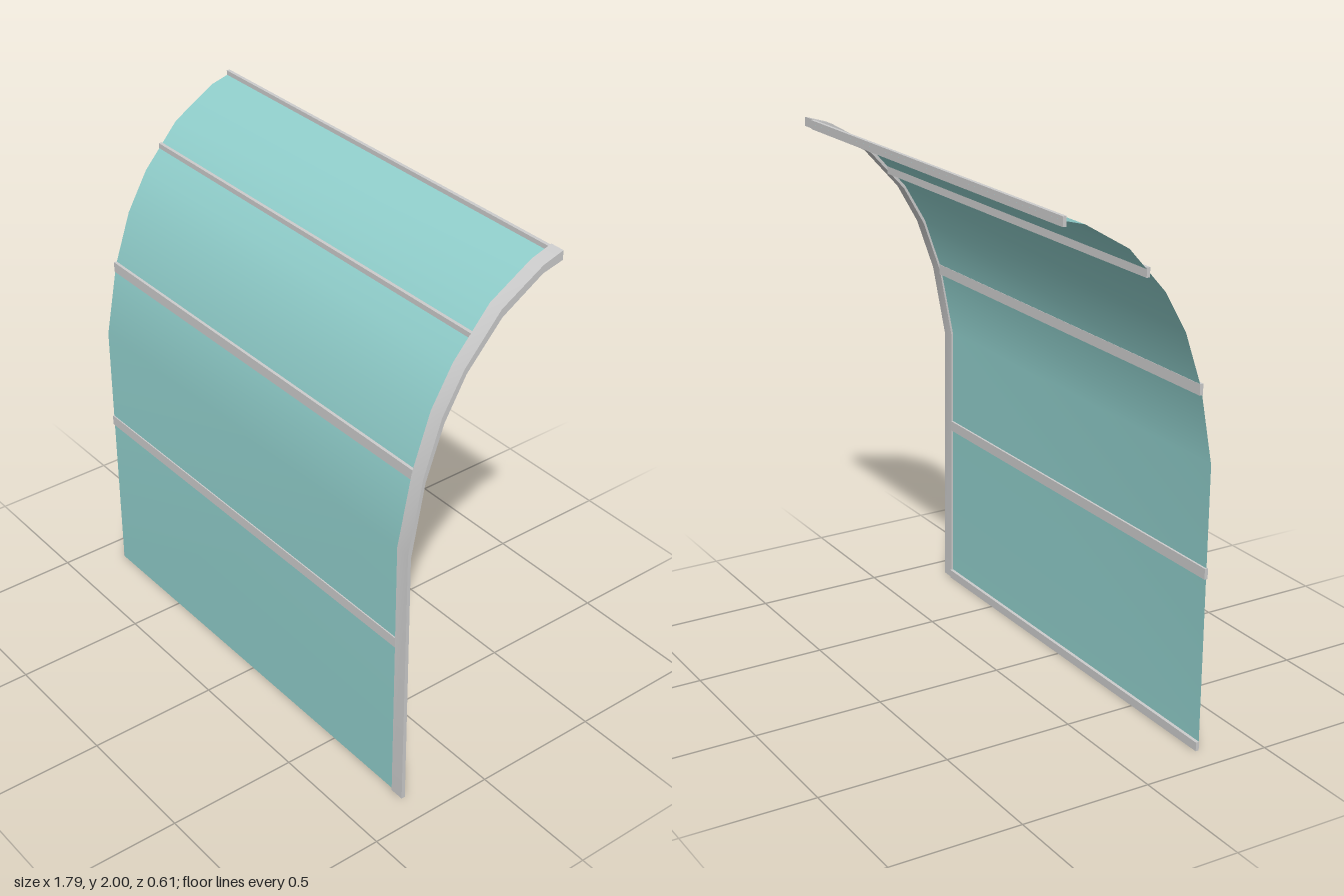
import * as THREE from 'three';
import { toCreasedNormals } from 'three/addons/utils/BufferGeometryUtils.js';

// side profile as [z, y], front/upper face and back/lower face of the post
const OUTER = [[0.297, 0], [0.304, 1.08], [0.25, 1.36], [0.18, 1.565], [0.095, 1.71], [-0.05, 1.875], [-0.22, 1.975], [-0.303, 2]];
const INNER = [[0.282, 0], [0.291, 1.06], [0.24, 1.34], [0.17, 1.54], [0.085, 1.69], [-0.055, 1.845], [-0.22, 1.945], [-0.303, 1.965]];
const X0 = -0.895, X1 = 0.837, X2 = 0.892;

export function createModel() {
  const model = new THREE.Group();
  const grey = new THREE.MeshStandardMaterial({ color: 0xcccccc });
  const teal = new THREE.MeshStandardMaterial({ color: 0x90cecb, side: THREE.DoubleSide });
  const add = (name, geometry, material) => {
    const mesh = new THREE.Mesh(geometry, material);
    mesh.name = name;
    model.add(mesh);
    return mesh;
  };

  // curved side post: profile drawn in (-z, y), extruded, then turned onto x
  const outline = [...OUTER, ...INNER.slice().reverse()].map(([z, y]) => new THREE.Vector2(-z, y));
  const post = new THREE.ExtrudeGeometry(new THREE.Shape(outline), { depth: X2 - X1, bevelEnabled: false });
  post.rotateY(Math.PI / 2);
  post.translate(X1, 0, 0);
  add('sidePost', toCreasedNormals(post, 0.6), grey);

  // thin bent panel following the middle of the post
  const mid = OUTER.map(([z, y], i) => [(z + INNER[i][0]) / 2, (y + INNER[i][1]) / 2]);
  const panel = new THREE.PlaneGeometry(X1 - X0, 1, 1, mid.length - 1);
  const pos = panel.attributes.position;
  for (let i = 0; i < pos.count; i++) {
    const [z, y] = mid[mid.length - 1 - Math.floor(i / 2)];
    pos.setXYZ(i, pos.getX(i) + (X0 + X1) / 2, y, z);
  }
  panel.computeVertexNormals();
  add('panel', panel, teal);

  // cross rails: [name, bottom, top, z centre]
  const rails = [
    ['bottomRail', 0, 0.034, 0.283],
    ['lowerRail', 0.655, 0.695, 0.293],
    ['middleRail', 1.325, 1.365, 0.245],
    ['upperRail', 1.757, 1.791, 0.02],
    ['topRail', 1.962, 1.996, -0.296],
  ];
  for (const [name, y0, y1, z] of rails) {
    add(name, new THREE.BoxGeometry(X1 - X0 + 0.004, y1 - y0, 0.013), grey)
      .position.set((X0 + X1) / 2, (y0 + y1) / 2, z);
  }
  return model;
}
